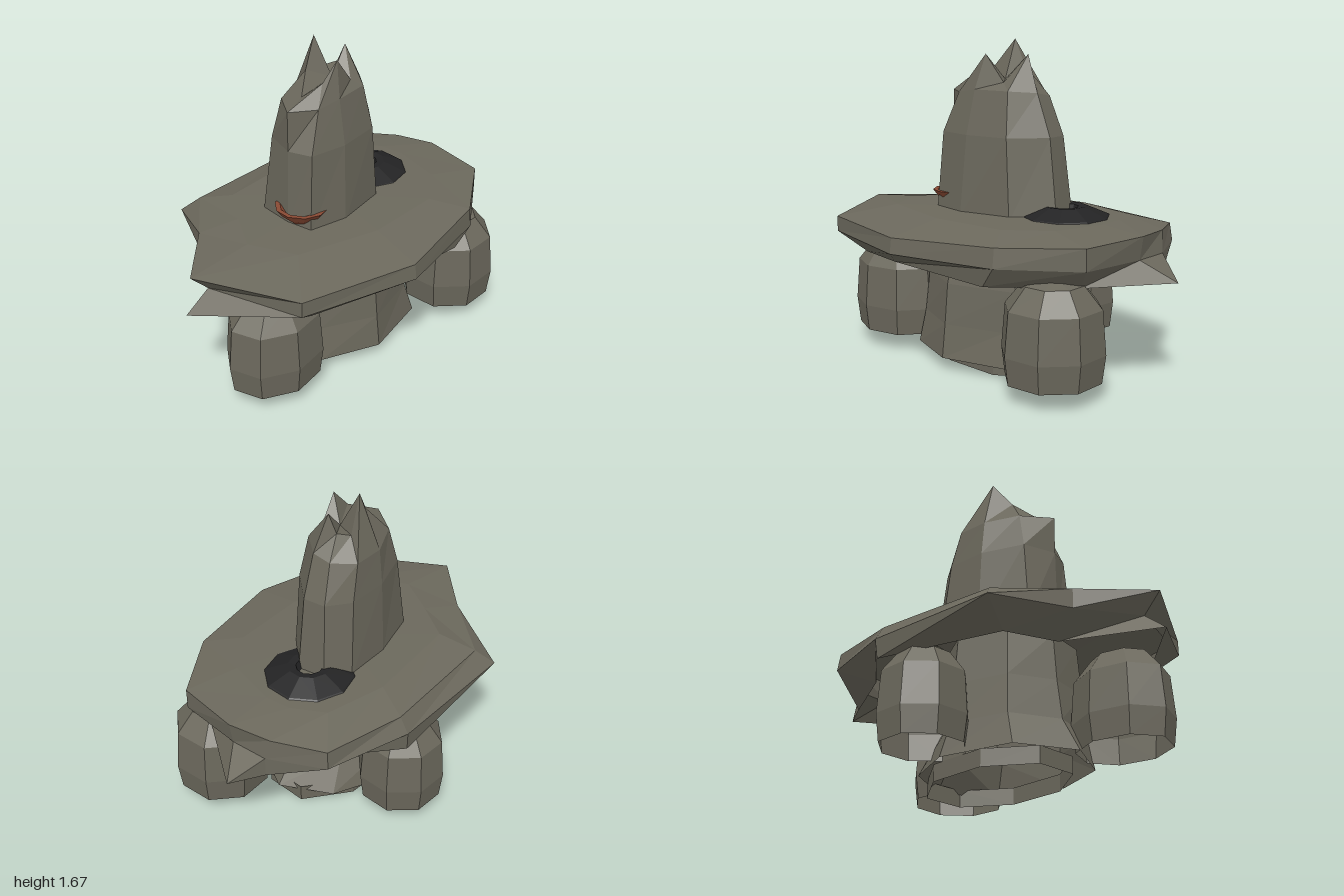
import * as THREE from 'three';

const material = (name, color) => {
  const m = new THREE.MeshStandardMaterial({ color, side: THREE.DoubleSide });
  m.name = name;
  return m;
};

// Faceted skin through rings of [x, y, z] points listed left, front, right, back, from bottom to top
function loft(rings, top) {
  const pos = [];
  const n = rings[0].length;
  const tri = (...pts) => pts.forEach((p) => pos.push(...p));
  for (let i = 0; i < n; i++) {
    const j = (i + 1) % n;
    for (let r = 0; r < rings.length - 1; r++) {
      const a = rings[r], b = rings[r + 1];
      tri(a[i], a[j], b[j]);
      tri(a[i], b[j], b[i]);
    }
    const last = rings[rings.length - 1];
    if (top) tri(top, last[i], last[j]);
  }
  const g = new THREE.BufferGeometry();
  g.setAttribute('position', new THREE.Float32BufferAttribute(pos, 3));
  g.computeVertexNormals();
  return g;
}

// Ellipse ring that starts at -x and runs over the front
const oval = (cx, y, cz, rx, rz, sides, turn = 0) =>
  Array.from({ length: sides }, (_, i) => {
    const a = Math.PI + turn - (i / sides) * Math.PI * 2;
    return [cx + Math.cos(a) * rx, y, cz + Math.sin(a) * rz];
  });

// Ring of [x, z] points at one height
const level = (y, points) => points.map(([x, z]) => [x, y, z]);

// Faceted solid of revolution from [radius, y] points
function turned(points, sides) {
  const g = new THREE.LatheGeometry(points.map(([r, y]) => new THREE.Vector2(r, y)), sides).toNonIndexed();
  g.computeVertexNormals();
  return g;
}

export function createModel() {
  const model = new THREE.Group();
  const stone = material('stone', 0x6b685c);
  const black = material('charred black', 0x232324);
  const clay = material('red clay', 0x8a4a34);
  const add = (name, geometry, mat) => {
    const mesh = new THREE.Mesh(geometry, mat);
    mesh.name = name;
    model.add(mesh);
    return mesh;
  };

  // Central pillar and its foot, open underneath
  const E = Math.PI / 8;
  add('foot', loft([oval(0.04, 0, 0, 0.43, 0.3, 8, E), oval(0.04, 0.09, 0, 0.43, 0.3, 8, E)]), stone);
  add('pillar', loft([
    level(0.065, [[-0.49, 0.02], [-0.34, 0.3], [-0.03, 0.41], [0.34, 0.3], [0.49, 0], [0.34, -0.26], [0.05, -0.38], [-0.34, -0.28]]),
    level(0.24, [[-0.4, 0], [-0.32, 0.27], [-0.03, 0.39], [0.29, 0.28], [0.36, 0], [0.24, -0.22], [0.02, -0.34], [-0.28, -0.25]]),
    level(0.45, [[-0.37, 0], [-0.32, 0.24], [-0.03, 0.37], [0.34, 0.25], [0.42, 0], [0.24, -0.2], [0.02, -0.32], [-0.26, -0.23]]),
    level(0.7, [[-0.35, 0], [-0.31, 0.22], [-0.03, 0.31], [0.27, 0.22], [0.36, 0], [0.22, -0.19], [0.02, -0.3], [-0.24, -0.21]]),
  ], [0, 0.7, 0]), stone);

  // Three boulders carrying the slab, open underneath
  const boulders = [
    ['leftBoulder', 0.625, 0.28, 0.26, 0.26, 0.3],
    ['rightBoulder', -0.59, 0.225, 0.275, 0.22, 0.1],
    ['backBoulder', 0.06, -0.48, 0.23, 0.235, E],
  ];
  const levels = [[0.09, 0.93], [0.23, 1], [0.45, 0.93], [0.56, 0.58]];
  for (const [name, x, z, rx, rz, turn] of boulders) {
    add(name, loft(levels.map(([y, s]) => oval(x, y, z, rx * s, rz * s, 8, turn)), [x, 0.595, z]), stone);
  }

  // Hollow slab: lower lip, notch, upper rim, inner top ring
  const lip = level(0.545, [[-1, 0.06], [-0.56, 0.47], [-0.28, 0.51], [0.4, 0.53], [0.74, 0.22], [1, -0.19],
    [0.83, -0.28], [0.46, -0.46], [0.22, -0.65], [-0.44, -0.44], [-0.54, -0.17]]);
  const notch = level(0.65, [[-0.87, 0.07], [-0.7, 0.56], [-0.08, 0.7], [0.49, 0.55], [0.83, 0.28], [0.85, -0.08],
    [0.83, -0.28], [0.68, -0.55], [0.23, -0.66], [-0.52, -0.62], [-0.69, -0.23]]);
  const rim = [[-0.97, 0.75, 0.07], [-0.7, 0.73, 0.56], [-0.08, 0.73, 0.69], [0.49, 0.75, 0.54],
    [0.83, 0.76, 0.28], [0.87, 0.77, -0.08], [0.81, 0.76, -0.3], [0.67, 0.74, -0.54],
    [0.23, 0.73, -0.61], [-0.45, 0.73, -0.54], [-0.69, 0.75, -0.23]];
  const crest = level(0.79, [[-0.62, 0.07], [-0.5, 0.31], [-0.06, 0.41], [0.36, 0.37], [0.56, 0.2], [0.62, -0.08],
    [0.6, -0.22], [0.5, -0.38], [0.17, -0.44], [-0.37, -0.36], [-0.5, -0.15]]);
  add('slab', loft([lip, notch, rim, crest], [0, 0.8, 0]), stone);

  // Spire with a broken crown sinking to a pit
  const base = level(0.77, [[-0.34, 0.05], [-0.31, 0.19], [-0.1, 0.22], [0.19, 0.15], [0.35, -0.03],
    [0.32, -0.18], [0.2, -0.26], [-0.06, -0.24], [-0.33, -0.15]]);
  const waist = level(1.19, [[-0.33, 0.05], [-0.28, 0.17], [-0.08, 0.19], [0.16, 0.14], [0.3, -0.03],
    [0.28, -0.15], [0.16, -0.23], [-0.06, -0.22], [-0.28, -0.13]]);
  const shoulder = [[-0.33, 1.4, 0.05], [-0.2, 1.4, 0.13], [-0.07, 1.42, 0.14], [0.13, 1.42, 0.1],
    [0.22, 1.41, -0.02], [0.21, 1.39, -0.12], [0.11, 1.38, -0.21], [-0.06, 1.38, -0.2], [-0.23, 1.39, -0.11]];
  const crown = [[-0.22, 1.44, 0.03], [-0.13, 1.5, 0.08], [-0.04, 1.6, 0.09], [0.07, 1.46, 0.07],
    [0.135, 1.6, -0.04], [0.12, 1.5, -0.08], [0.06, 1.48, -0.12], [-0.02, 1.67, -0.1], [-0.12, 1.53, -0.05]];
  add('spire', loft([base, waist, shoulder, crown], [0.01, 1.47, 0]), stone);

  // Dark ring mound beside the spire
  add('darkMound', turned([[0.24, 0.785], [0.225, 0.797], [0.11, 0.845], [0.07, 0.84], [0.055, 0.795]], 10), black)
    .position.set(0.34, 0, -0.1);

  // Clay bowl half sunk into the spire
  add('clayBowl', turned([[0.04, 0.8], [0.07, 0.8], [0.11, 0.835], [0.14, 0.875], [0.115, 0.875],
    [0.08, 0.835], [0.04, 0.82]], 10), clay).position.set(-0.265, 0, 0.075);

  return model;
}
